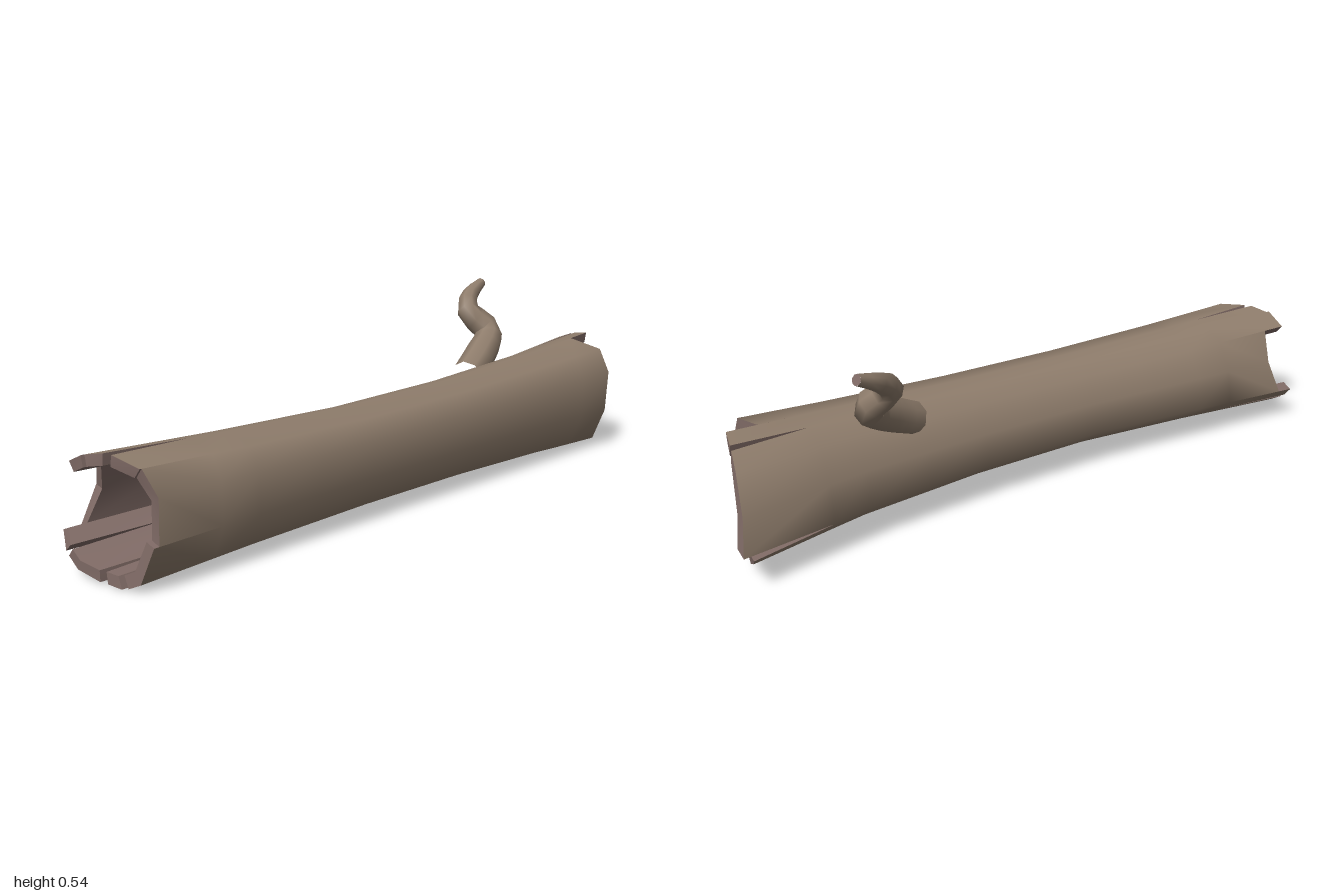
import * as THREE from 'three';
import { toCreasedNormals } from 'three/addons/utils/BufferGeometryUtils.js';

// Extent of the trunk along its length: x, bottom, top, back, front
const STATIONS = [
  [-1, 0.01, 0.36, -0.135, 0.21],
  [-0.6, 0.03, 0.342, -0.105, 0.21],
  [-0.2, 0.042, 0.332, -0.075, 0.21],
  [0.2, 0.04, 0.335, -0.078, 0.21],
  [0.6, 0.025, 0.35, -0.105, 0.21],
  [0.75, 0.015, 0.358, -0.13, 0.213],
  [1, 0, 0.37, -0.178, 0.219],
];
// Cross-section as z, y; runs from front top over the back and underneath
const SECTION = [
  [0.175, 0.35], [0.05, 0.37], [-0.02, 0.355], [-0.10, 0.32], [-0.155, 0.22],
  [-0.175, 0.103], [-0.115, 0.055], [-0.06, 0.025], [0.035, 0.003], [0.11, 0],
  [0.165, 0.025], [0.218, 0.14], [0.218, 0.275],
];
const N = SECTION.length;
const ROOT = 0.72; // where the splintered ends begin
const INNER = 0.81;

// Tip positions of each splinter, and the columns that are split open
const ENDS = [
  {
    side: 1, cracks: [2, 5, 7, 8],
    tips: [[0.85, 0.84], [0.93, 0.945], [0.95, 0.97], [0.97, 0.985], [0.985, 1],
      [0.97, 0.95], [0.95, 0.94], [0.92, 0.9], [0.87, 0.855], [0.855, 0.845],
      [0.845, 0.84], [0.84, 0.85], [0.85, 0.85]],
  },
  {
    side: -1, cracks: [1, 6, 8, 9],
    tips: [[0.93, 0.95], [0.96, 0.98], [0.99, 0.985], [0.91, 0.89], [0.89, 0.93],
      [0.98, 1], [1, 1], [1, 0.98], [0.97, 0.96], [0.95, 0.94],
      [0.94, 0.925], [0.91, 0.905], [0.905, 0.925]],
  },
];

function extentAt(x) {
  let i = 0;
  while (i < STATIONS.length - 2 && x > STATIONS[i + 1][0]) i++;
  const a = STATIONS[i], b = STATIONS[i + 1];
  const t = (x - a[0]) / (b[0] - a[0]);
  return a.map((v, k) => v + (b[k] - v) * t);
}

// Point on the trunk at column c (may be fractional), scaled about the axis
function point(x, c, scale = 1) {
  const i = Math.floor(c), t = c - i;
  const a = SECTION[(i + N) % N], b = SECTION[(i + 1 + N) % N];
  const [, y0, y1, z0, z1] = extentAt(x);
  const u = ((a[0] + (b[0] - a[0]) * t) + 0.175) / 0.393 - 0.5;
  const v = (a[1] + (b[1] - a[1]) * t) / 0.37 - 0.5;
  return [x, (y0 + y1) / 2 + v * scale * (y1 - y0), (z0 + z1) / 2 + u * scale * (z1 - z0)];
}

function quad(out, a, b, c, d, flip = false) {
  if (flip) out.push(...a, ...d, ...c, ...a, ...c, ...b);
  else out.push(...a, ...b, ...c, ...a, ...c, ...d);
}

function mesh(name, positions, color, crease) {
  let g = new THREE.BufferGeometry();
  g.setAttribute('position', new THREE.Float32BufferAttribute(positions, 3));
  g = toCreasedNormals(g, crease);
  const m = new THREE.Mesh(g, new THREE.MeshStandardMaterial({
    color, roughness: 0.9, side: THREE.DoubleSide,
  }));
  m.name = name;
  return m;
}

function createTrunk() {
  const bark = [], wood = [], core = [];

  // Waisted body between the two ends
  const xs = [-ROOT, -0.6, -0.4, -0.2, 0, 0.2, 0.4, 0.6, ROOT];
  for (let k = 0; k < xs.length - 1; k++) {
    for (let j = 0; j < N; j++) {
      quad(bark, point(xs[k], j), point(xs[k + 1], j), point(xs[k + 1], j + 1), point(xs[k], j + 1));
    }
  }

  for (const { side, cracks, tips } of ENDS) {
    const root = side * ROOT, flip = side < 0;
    for (let j = 0; j < N; j++) {
      // Splinter: bark outside, wood inside, on its end and along its sides
      const ca = j + (cracks.includes(j) ? 0.13 : 0);
      const cb = j + 1 - (cracks.includes((j + 1) % N) ? 0.13 : 0);
      const [xa, xb] = tips[j].map((x) => x * side);
      const corners = (s) => [point(root, j, s), point(xa, ca, s), point(xb, cb, s), point(root, j + 1, s)];
      const o = corners(1), n = corners(INNER);
      quad(bark, ...o, flip);
      quad(wood, ...n, !flip);
      quad(wood, o[1], n[1], n[2], o[2], flip);
      quad(wood, o[0], n[0], n[1], o[1], flip);
      quad(wood, o[3], o[2], n[2], n[3], flip);

      // Floor of the hollow
      const [, y0, y1, z0, z1] = extentAt(root);
      const mid = [root, (y0 + y1) / 2, (z0 + z1) / 2];
      core.push(...mid, ...(flip ? [...n[0], ...n[3]] : [...n[3], ...n[0]]));
    }
  }

  const trunk = new THREE.Group();
  trunk.name = 'trunk';
  trunk.add(
    mesh('bark', bark, 0x8f7d6c, 1.1),
    mesh('splinteredWood', wood, 0x806b66, 0.5),
    mesh('hollowFloors', core, 0x7a564e, 0.5),
  );
  return trunk;
}

function createBranch() {
  const curve = new THREE.CatmullRomCurve3([
    [0.41, 0.30, -0.01], [0.50, 0.345, -0.04], [0.585, 0.40, -0.085],
    [0.55, 0.465, -0.145], [0.60, 0.508, -0.185], [0.675, 0.538, -0.205],
  ].map((p) => new THREE.Vector3(...p)), false, 'centripetal');
  const radii = [0.05, 0.052, 0.046, 0.041, 0.029, 0.016];
  const steps = 12, sides = 8;

  // Crooked tapering limb
  const limb = new THREE.TubeGeometry(curve, steps, 1, sides);
  const pos = limb.attributes.position, v = new THREE.Vector3();
  for (let i = 0; i < pos.count; i++) {
    const u = Math.floor(i / (sides + 1)) / steps;
    const k = Math.min(Math.floor(u * 5), 4);
    const r = THREE.MathUtils.lerp(radii[k], radii[k + 1], u * 5 - k);
    const c = curve.getPointAt(u);
    v.fromBufferAttribute(pos, i).sub(c).multiplyScalar(r).add(c);
    pos.setXYZ(i, v.x, v.y, v.z);
  }
  const branch = new THREE.Group();
  branch.name = 'branch';
  const stem = new THREE.Mesh(limb, new THREE.MeshStandardMaterial({ color: 0x8f7d6c, roughness: 0.9 }));
  stem.name = 'branchStem';

  // Broken tip
  const tip = new THREE.Mesh(
    new THREE.CircleGeometry(0.0162, sides),
    new THREE.MeshStandardMaterial({ color: 0x806b66, roughness: 0.9, side: THREE.DoubleSide }),
  );
  tip.name = 'branchTip';
  const end = curve.getPointAt(1);
  tip.position.copy(end);
  tip.lookAt(end.clone().add(curve.getTangentAt(1)));
  branch.add(stem, tip);
  return branch;
}

export function createModel() {
  const model = new THREE.Group();
  model.name = 'hollowLog';
  model.add(createTrunk(), createBranch());
  return model;
}
